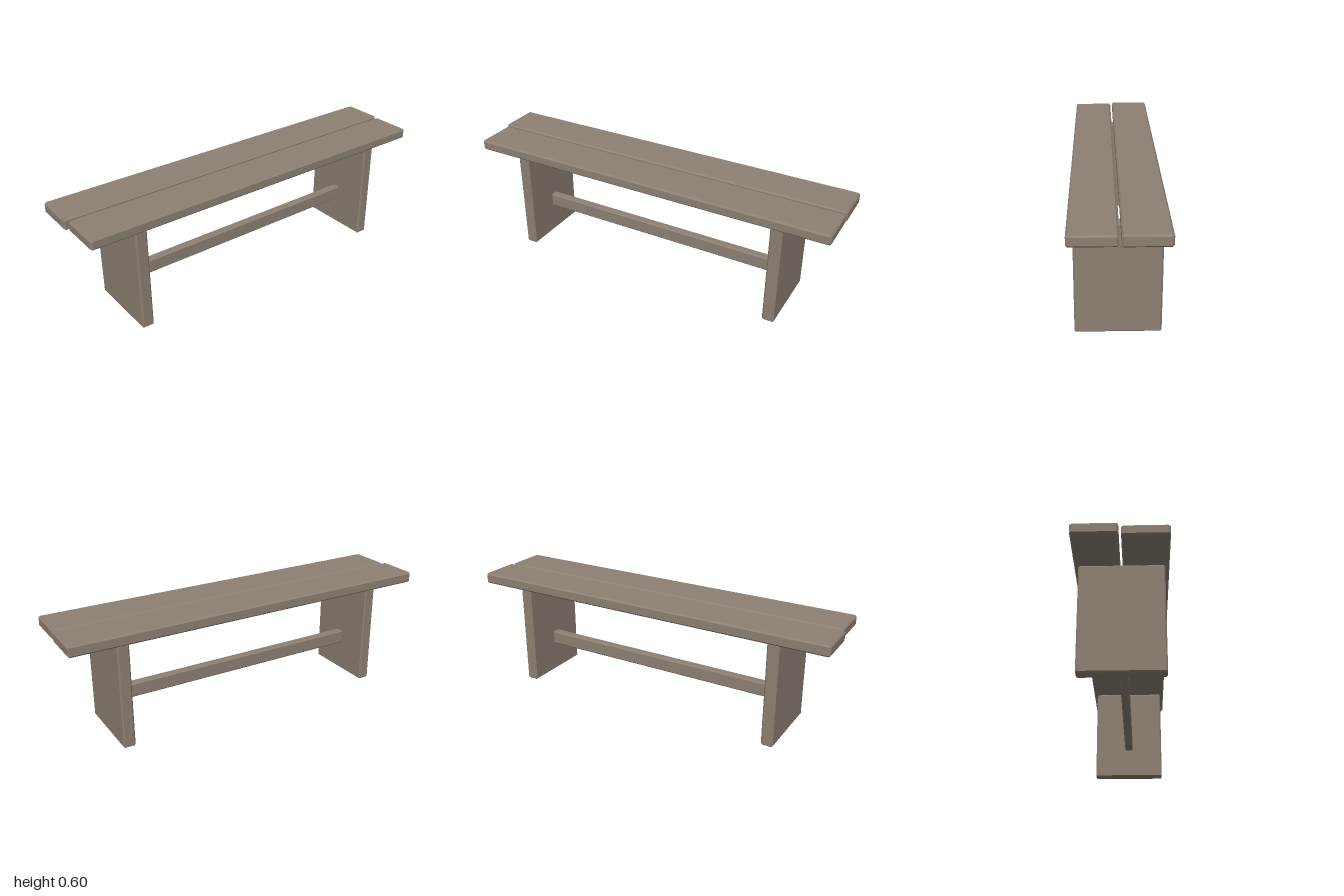
import * as THREE from 'three';
import { ConvexGeometry } from 'three/addons/geometries/ConvexGeometry.js';

const wood = new THREE.MeshStandardMaterial({ color: 0x8c8072, flatShading: true });

// Board between two corners [x, y, z], every edge chamfered by c
function board(name, min, max, c) {
  const centre = min.map((v, i) => (v + max[i]) / 2);
  const half = min.map((v, i) => (max[i] - v) / 2);
  const points = [];
  for (const sx of [-1, 1]) for (const sy of [-1, 1]) for (const sz of [-1, 1]) {
    // each corner becomes three points, one on each meeting face
    for (let face = 0; face < 3; face++) {
      const [x, y, z] = [sx, sy, sz].map((s, i) => s * (half[i] - (i === face ? 0 : c)));
      points.push(new THREE.Vector3(x, y, z));
    }
  }
  const mesh = new THREE.Mesh(new ConvexGeometry(points), wood);
  mesh.name = name;
  mesh.position.set(...centre);
  return mesh;
}

export function createModel() {
  const bench = new THREE.Group();
  bench.name = 'bench';

  // Seat: two planks with a narrow gap, the front one slightly shorter
  bench.add(board('frontPlank', [-0.985, 0.546, 0.004], [0.997, 0.6, 0.22], 0.008));
  bench.add(board('backPlank', [-1, 0.546, -0.22], [1, 0.603, -0.008], 0.008));

  // Solid slab legs
  bench.add(board('rightLeg', [-0.757, 0, -0.2], [-0.695, 0.546, 0.2], 0.007));
  bench.add(board('leftLeg', [0.704, 0, -0.2], [0.766, 0.546, 0.2], 0.007));

  // Stretcher rail between the legs
  bench.add(board('stretcher', [-0.698, 0.165, -0.022], [0.707, 0.24, 0.022], 0.006));

  return bench;
}
